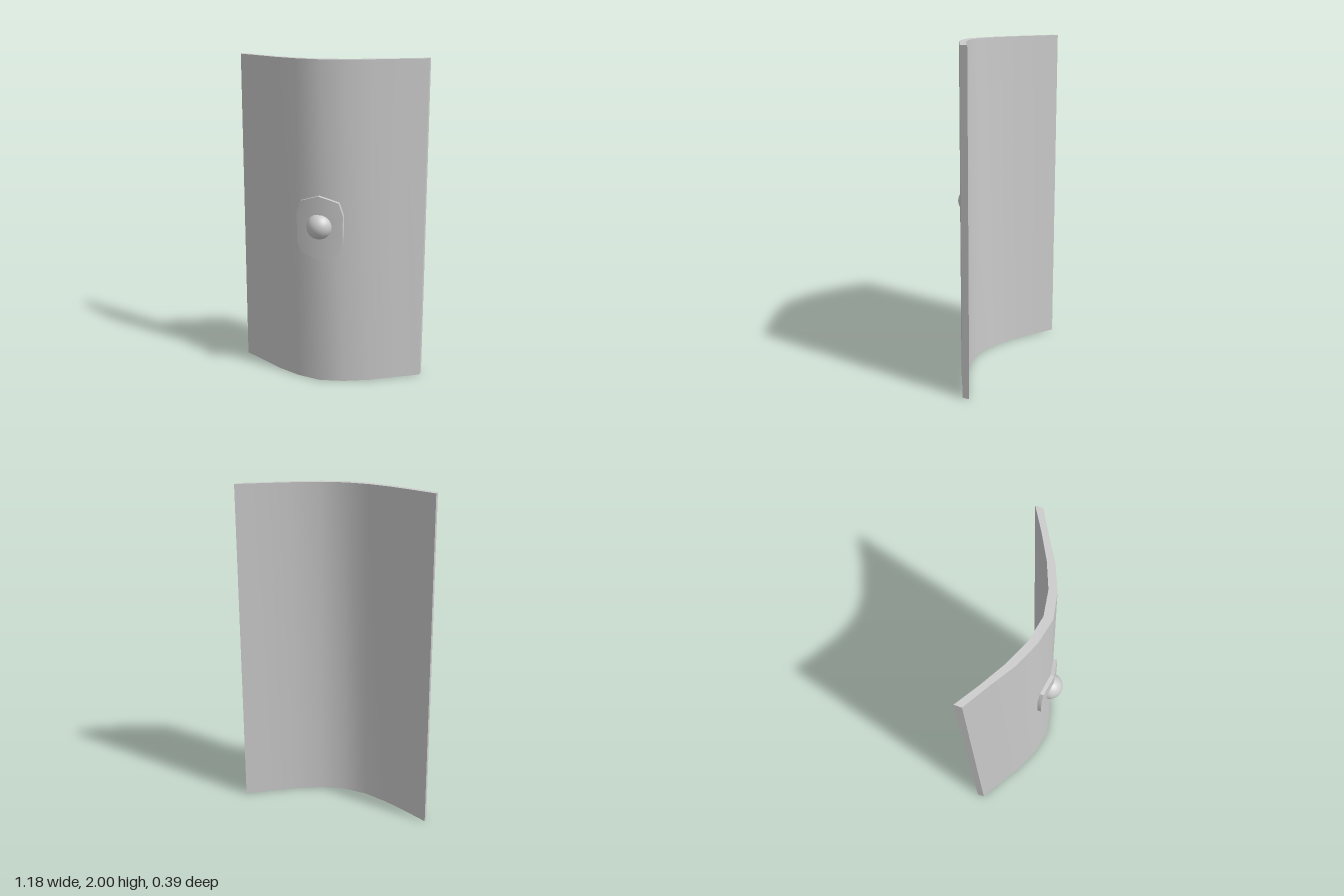
import * as THREE from 'three';
import { toCreasedNormals } from 'three/addons/utils/BufferGeometryUtils.js';

const CREASE = 0.6;

export function createModel() {
  const group = new THREE.Group();
  const material = new THREE.MeshStandardMaterial({ color: 0xcccccc });
  const add = (name, geometry) => {
    const mesh = new THREE.Mesh(geometry, material);
    mesh.name = name;
    group.add(mesh);
    return mesh;
  };

  // Curved shield board: half profiles (x, z) mirrored, then raised along y
  const xs = [0, 0.15, 0.3, 0.45, 0.59];
  const frontZ = [0.113, 0.083, 0.02, -0.07, -0.15];
  const backZ = [0.06, 0.034, -0.028, -0.11, -0.195];
  const across = (zs) => [
    ...xs.map((x, i) => [-x, zs[i]]).reverse(),
    ...xs.map((x, i) => [x, zs[i]]).slice(1),
  ];
  const section = [...across(frontZ), ...across(backZ).reverse()];
  const board = new THREE.ExtrudeGeometry(
    new THREE.Shape(section.map(([x, z]) => new THREE.Vector2(x, -z))),
    { depth: 2, bevelEnabled: false });
  board.rotateX(-Math.PI / 2);
  add('board', toCreasedNormals(board, CREASE));

  // Boss plate: ten-sided outline folded over the board's centre ridge
  const outline = [
    [0.145, 0.915], [0.145, 1.085], [0.12, 1.16], [0, 1.2], [-0.12, 1.16],
    [-0.145, 1.085], [-0.145, 0.915], [-0.12, 0.84], [0, 0.803], [0.12, 0.84],
  ];
  const at = ([x, y], z) => [x, y, z - 0.2 * Math.abs(x)];
  const front = (p) => at(p, 0.139);
  const back = (p) => at(p, 0.115);
  const centre = [0, 1];
  const corners = [];
  outline.forEach((a, i) => {
    const b = outline[(i + 1) % outline.length];
    corners.push(front(centre), front(a), front(b)); // face
    corners.push(back(centre), back(b), back(a)); // underside
    corners.push(back(a), back(b), front(b), back(a), front(b), front(a)); // rim
  });
  const plate = new THREE.BufferGeometry();
  plate.setAttribute('position', new THREE.Float32BufferAttribute(corners.flat(), 3));
  plate.computeVertexNormals();
  add('bossPlate', toCreasedNormals(plate, CREASE));

  // Domed boss
  const dome = new THREE.SphereGeometry(0.08, 32, 12, 0, Math.PI * 2, 0, Math.PI / 2);
  dome.rotateX(Math.PI / 2);
  add('bossDome', dome).position.set(0, 1.01, 0.113);

  return group;
}
